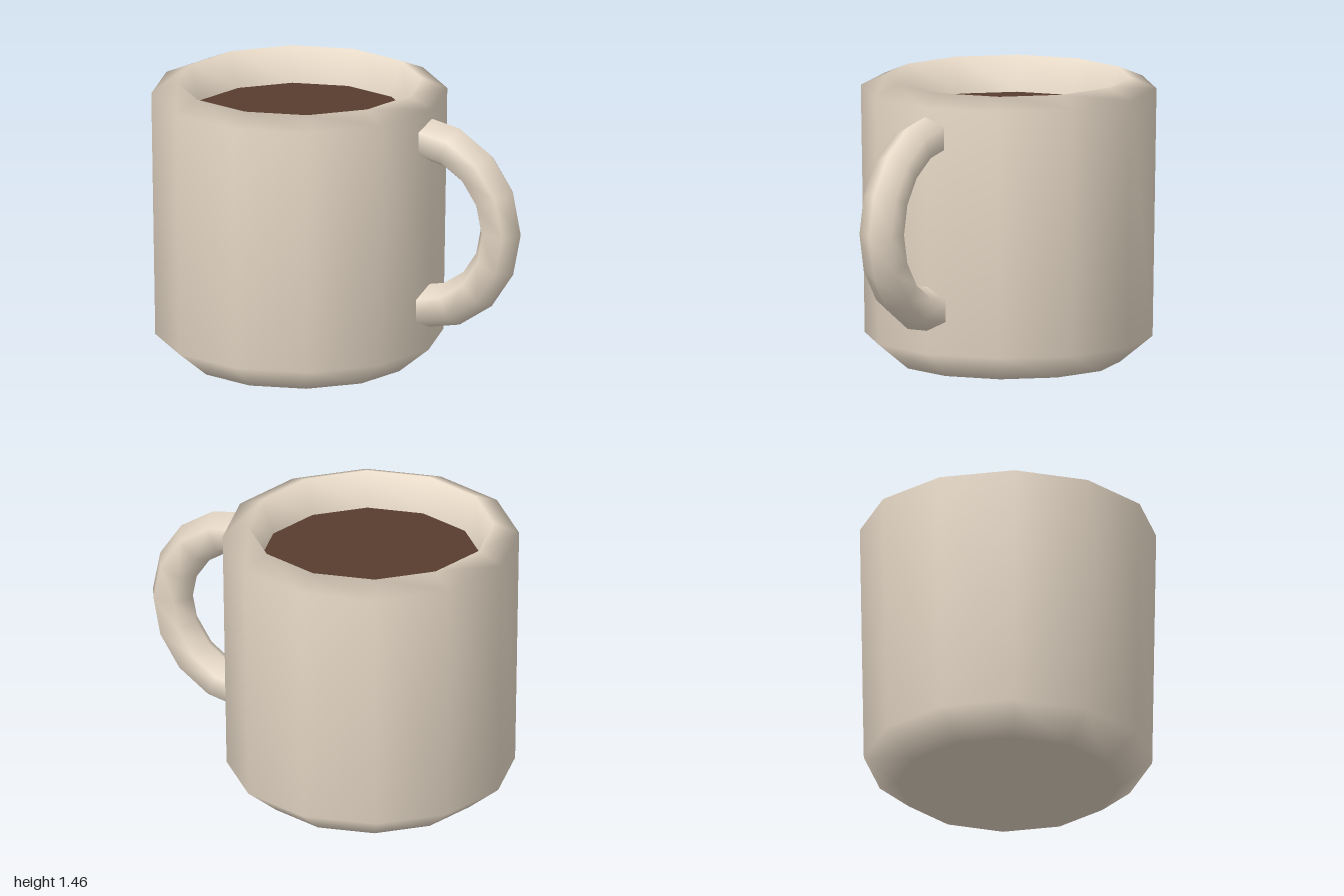
import * as THREE from 'three';

const SIDES = 12;
const CUP_X = -0.25;

function addMesh(group, name, geometry, color, x, y) {
  const material = new THREE.MeshStandardMaterial({ color });
  const mesh = new THREE.Mesh(geometry, material);
  mesh.name = name;
  mesh.position.set(x, y, 0);
  group.add(mesh);
  return mesh;
}

export function createModel() {
  const group = new THREE.Group();
  group.name = 'mug';
  const ceramic = 0xe6d8c6;

  // Cup: closed base, chamfered foot, slightly flared wall, rim and inner lip
  const profile = [
    [0, 0], [0.565, 0], [0.73, 0.135], [0.75, 1.405],
    [0.62, 1.46], [0.56, 1.28], [0.55, 1.2],
  ].map(([r, y]) => new THREE.Vector2(r, y));
  addMesh(group, 'cup', new THREE.LatheGeometry(profile, SIDES), ceramic, CUP_X, 0);

  // Drink: flat disc inside the rim, its corners aligned with the cup's
  const disc = new THREE.CircleGeometry(0.562, SIDES).rotateX(-Math.PI / 2);
  addMesh(group, 'drink', disc, 0x573d2e, CUP_X, 1.28);

  // Handle: half ring with a six-sided section, its ends sunk into the wall
  const ring = new THREE.TorusGeometry(0.447, 0.113, 6, 8, Math.PI).rotateZ(-Math.PI / 2);
  addMesh(group, 'handle', ring, ceramic, 0.44, 0.808);

  return group;
}
